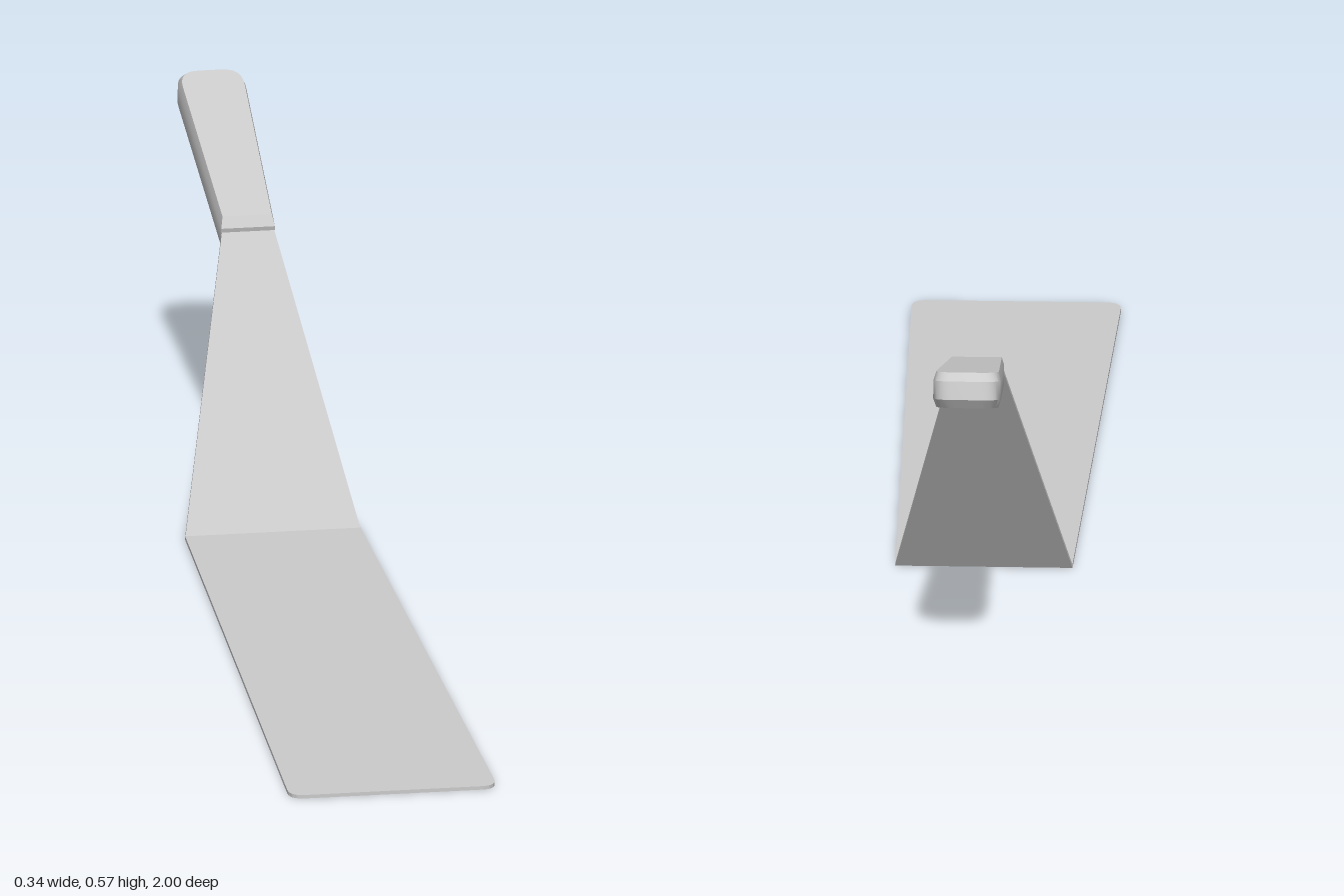
import * as THREE from 'three';
import { toCreasedNormals } from 'three/addons/utils/BufferGeometryUtils.js';

const material = new THREE.MeshStandardMaterial({ color: 0xcccccc });
const THICKNESS = 0.006;

// Places a geometry drawn in plan (x across, y towards the back, z up), tilted up by an angle.
function addPart(group, name, geometry, tilt, y, z) {
  geometry.rotateX(tilt - Math.PI / 2);
  const mesh = new THREE.Mesh(toCreasedNormals(geometry, 0.6), material);
  mesh.name = name;
  mesh.position.set(0, y, z);
  group.add(mesh);
}

const extrude = (shape, depth, steps = 1) =>
  new THREE.ExtrudeGeometry(shape, { depth, steps, bevelEnabled: false, curveSegments: 8 });

// Long tapered blade with rounded front corners
function bladeGeometry() {
  const s = new THREE.Shape();
  s.moveTo(-0.144, 0.3);
  s.lineTo(-0.17, -0.97);
  s.quadraticCurveTo(-0.17, -1, -0.145, -1);
  s.lineTo(0.145, -1);
  s.quadraticCurveTo(0.17, -1, 0.17, -0.97);
  s.lineTo(0.144, 0.3);
  s.closePath();
  return extrude(s, THICKNESS);
}

// Sloping neck that narrows towards the handle
function neckGeometry() {
  const s = new THREE.Shape();
  s.moveTo(-0.144, 0);
  s.lineTo(0.144, 0);
  s.lineTo(0.043, 0.505);
  s.lineTo(-0.043, 0.505);
  s.closePath();
  return extrude(s, THICKNESS);
}

// Handle: four stacked copies of one outline, the outer two smaller for the bevel
function handleGeometry() {
  const L = 0.223;
  const s = new THREE.Shape();
  s.moveTo(-0.044, -L);
  s.lineTo(0.044, -L);
  s.lineTo(0.055, L - 0.05);
  s.bezierCurveTo(0.056, L - 0.015, 0.045, L, 0.02, L);
  s.lineTo(-0.02, L);
  s.bezierCurveTo(-0.045, L, -0.056, L - 0.015, -0.055, L - 0.05);
  s.closePath();
  const layers = [[-0.029, 0.92, 0.935], [-0.015, 1, 1], [0.015, 1, 1], [0.029, 0.92, 0.935]];
  const g = extrude(s, 1, 3);
  const p = g.attributes.position;
  for (let i = 0; i < p.count; i++) {
    const [height, across, along] = layers[Math.round(p.getZ(i) * 3)];
    p.setXYZ(i, p.getX(i) * across, p.getY(i) * along, height);
  }
  return g;
}

export function createModel() {
  const group = new THREE.Group();
  group.name = 'spatula';
  addPart(group, 'blade', bladeGeometry(), 0, 0, 0);
  addPart(group, 'neck', neckGeometry(), 1.01, 0, -0.3);
  addPart(group, 'handle', handleGeometry(), 0.272, 0.483, -0.782);
  return group;
}
